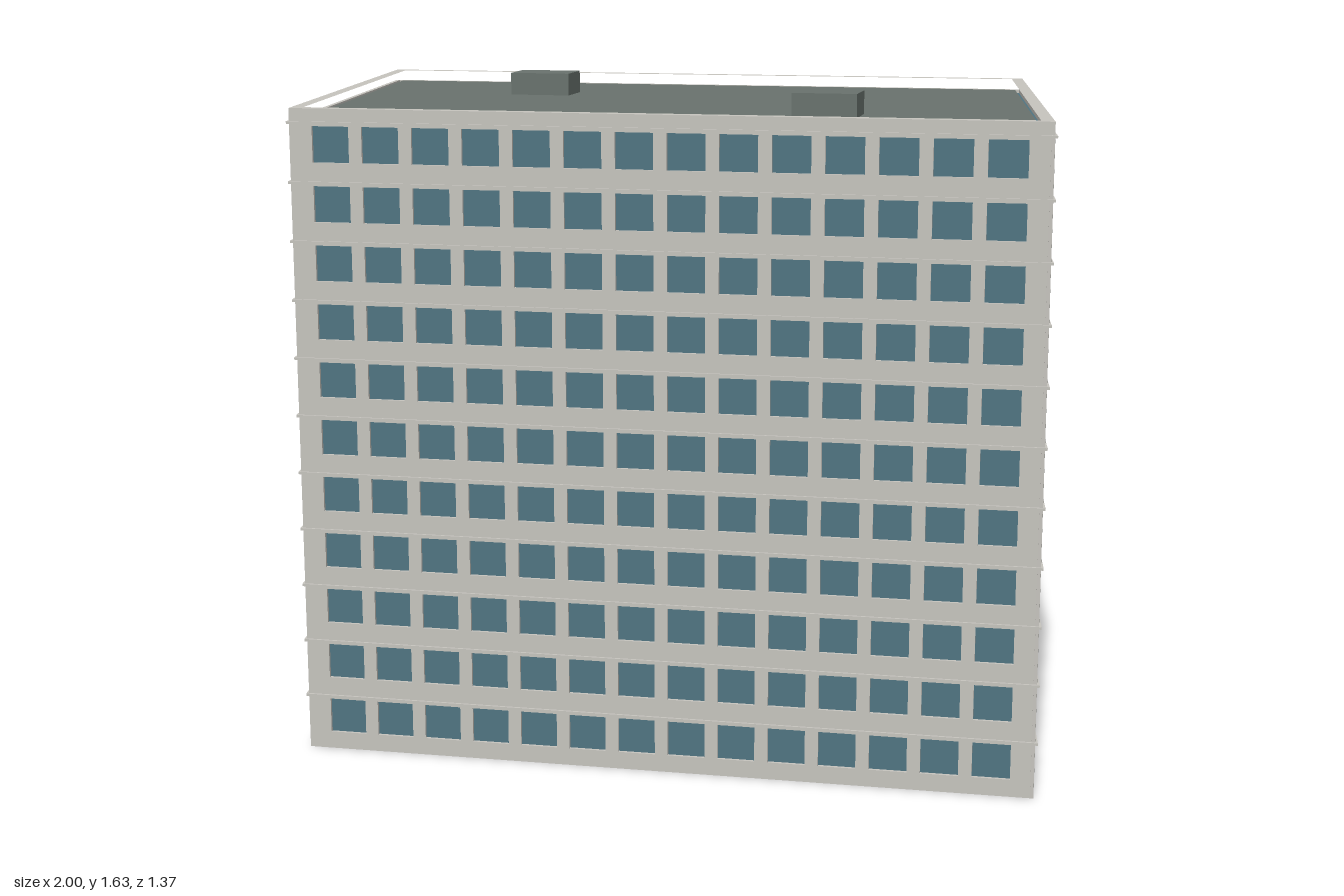
import * as THREE from 'three';

const material = (name, color) => {
  const m = new THREE.MeshStandardMaterial({ color });
  m.name = name;
  return m;
};

// Skewed footprint as [x, z]: back right, back left, front left, front right
const FOOT = [[-0.995, -0.58], [0.81, -0.637], [0.99, 0.622], [-0.815, 0.679]];
const FLOORS = 11, FLOOR_H = 0.1433, RECESS = 0.008;
const ROOF_Y = 1.575, TOP_Y = 1.605;

// Footprint moved inwards by d (outwards when negative)
function inset(d) {
  return FOOT.map((p, i) => {
    const out = [p[0], p[1]];
    for (const q of [FOOT[(i + 1) % 4], FOOT[(i + 3) % 4]]) {
      const len = Math.hypot(q[0] - p[0], q[1] - p[1]);
      out[0] += (q[0] - p[0]) / len * d;
      out[1] += (q[1] - p[1]) / len * d;
    }
    return out;
  });
}

// Upright prism over a footprint, with an optional opening
function prism(outer, y0, y1, hole) {
  const points = (list) => list.map(([x, z]) => new THREE.Vector2(x, -z));
  const shape = new THREE.Shape(points(outer));
  if (hole) shape.holes.push(new THREE.Path(points(hole)));
  const g = new THREE.ExtrudeGeometry(shape, { depth: y1 - y0, bevelEnabled: false });
  return g.rotateX(-Math.PI / 2).translate(0, y0, 0);
}

// Wall panel with a grid of window openings
function facade(length, columns) {
  const shape = new THREE.Shape();
  shape.moveTo(0, 0).lineTo(length, 0).lineTo(length, ROOF_Y).lineTo(0, ROOF_Y).closePath();
  const margin = 0.102, step = (length - 2 * margin) / (columns - 1);
  for (let row = 0; row < FLOORS; row++) {
    for (let col = 0; col < columns; col++) {
      const x = margin + col * step, y = 0.043 + row * FLOOR_H, w = 0.0455;
      const hole = new THREE.Path();
      hole.moveTo(x - w, y).lineTo(x - w, y + 0.087).lineTo(x + w, y + 0.087).lineTo(x + w, y).closePath();
      shape.holes.push(hole);
    }
  }
  return new THREE.ExtrudeGeometry(shape, { depth: RECESS, bevelEnabled: false }).translate(0, 0, -RECESS);
}

export function createModel() {
  const concrete = material('concrete', 0xc6c4be);
  const glass = material('window glass', 0x507482);
  const roofing = material('roofing', 0x69726d);
  const group = new THREE.Group();
  group.name = 'apartmentBlock';
  const add = (name, geometry, mat) => {
    const mesh = new THREE.Mesh(geometry, mat);
    mesh.name = name;
    group.add(mesh);
    return mesh;
  };

  // Glazed core behind the openings, closed by a base slab and the roof
  add('windowGlass', prism(inset(RECESS), 0.01, 1.565), glass);
  add('baseSlab', prism(inset(0.002), 0, 0.01), concrete);
  add('roof', prism(inset(0.02), 1.565, ROOF_Y), roofing);
  add('parapet', prism(FOOT, 1.57, TOP_Y, inset(0.03)), concrete);

  // Four facades, each running left to right as seen from outside
  const sides = [['front', 3, 2, 14], ['left', 2, 1, 9], ['back', 1, 0, 14], ['right', 0, 3, 9]];
  for (const [name, a, b, columns] of sides) {
    const [p, q] = [FOOT[a], FOOT[b]];
    const dx = q[0] - p[0], dz = q[1] - p[1];
    const wall = add(name + 'Wall', facade(Math.hypot(dx, dz), columns), concrete);
    wall.position.set(p[0], 0, p[1]);
    wall.rotation.y = Math.atan2(-dz, dx);
  }

  // Thin ledge above every row of windows
  for (let i = 0; i < FLOORS; i++) {
    const y = 0.135 + i * FLOOR_H;
    add('floorLedge', prism(inset(-0.006), y, y + 0.006, inset(RECESS)), concrete);
  }

  // Roof hatches
  for (const [x, z] of [[-0.44, -0.218], [0.415, 0.258]]) {
    add('roofHatch', new THREE.BoxGeometry(0.16, 0.06, 0.115), roofing).position.set(x, 1.603, z);
  }

  // Sloping entrance slab at the back
  const ramp = new THREE.Shape();
  ramp.moveTo(0, 0.012).lineTo(0.065, 0).lineTo(0.065, 0.009).lineTo(0, 0.022).closePath();
  const slab = add('entranceRamp',
    new THREE.ExtrudeGeometry(ramp, { depth: 0.2, bevelEnabled: false }).translate(0, 0, -0.1), concrete);
  slab.position.set(-0.097, 0, -0.62);
  slab.rotation.y = Math.PI / 2 + 0.03;

  return group;
}
